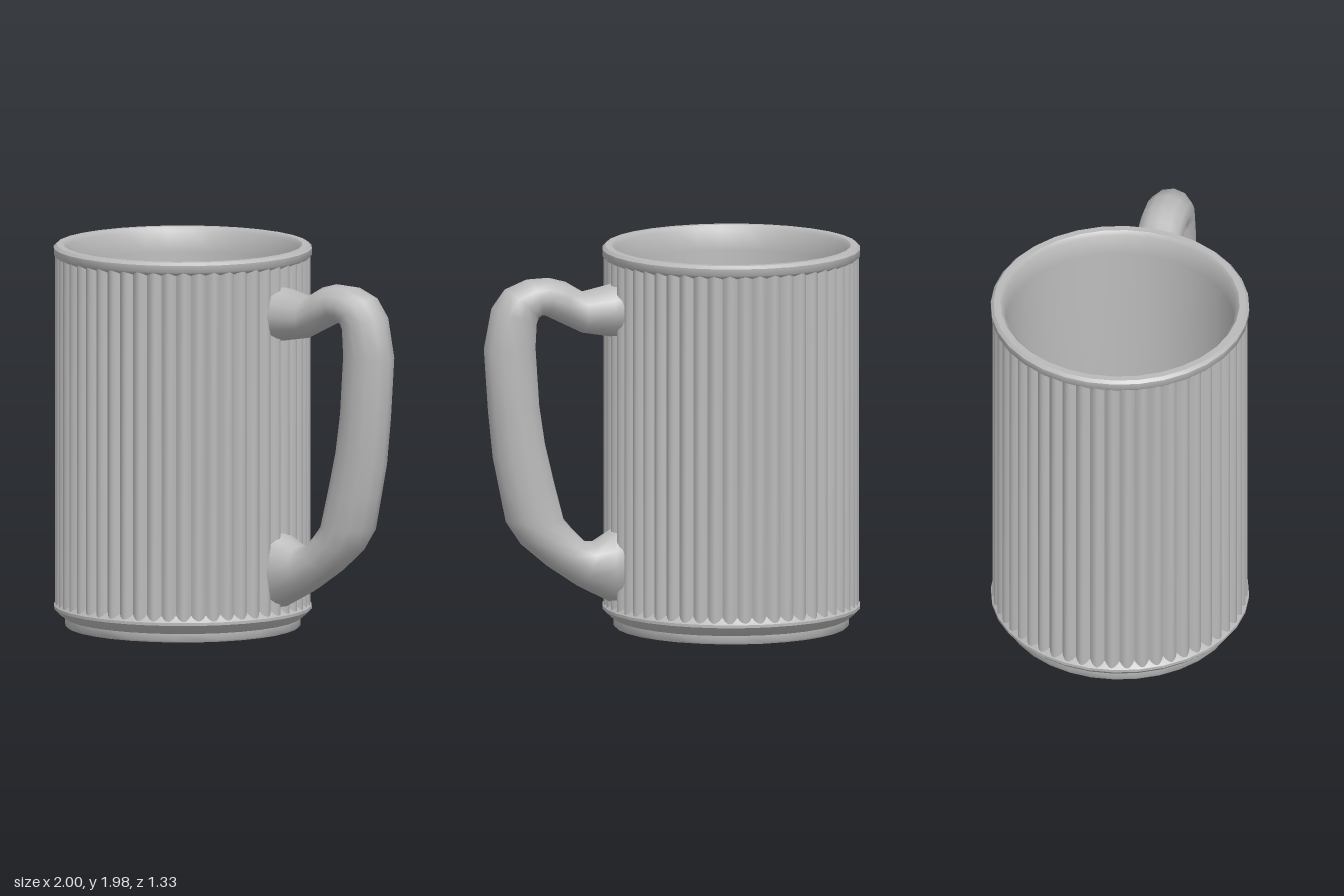
import * as THREE from 'three';
import { toCreasedNormals } from 'three/addons/utils/BufferGeometryUtils.js';

const CENTRE_X = -0.335;
const RIBS = 52;

// Closed turned shell: underside, foot, flange, rim, tapering inside, domed floor
function shellGeometry() {
  const dome = (r, edge, rise) => [0, 0.25, 0.5, 0.75, 1].map(t => [r * t, edge + rise * (1 - t * t)]);
  const profile = [
    ...dome(0.555, 0.09, 0.17),
    [0.565, 0.01], [0.575, 0], [0.6, 0], [0.607, 0.01], [0.607, 0.045],
    [0.635, 0.065], [0.664, 0.095], [0.664, 0.11], [0.645, 0.13], [0.62, 0.165],
    [0.62, 1.9], [0.655, 1.92], [0.664, 1.93], [0.665, 1.965], [0.65, 1.98],
    [0.615, 1.98], [0.597, 1.96], [0.59, 1.85],
    ...dome(0.545, 0.13, 0.17).reverse(),
  ];
  const g = new THREE.LatheGeometry(profile.map(p => new THREE.Vector2(...p)), 32);
  return toCreasedNormals(g, 0.75);
}

// Outer wall with half-round upright ribs
function ribbedGeometry() {
  const g = new THREE.CylinderGeometry(1, 1, 1.81, RIBS * 6, 1, true);
  const p = g.attributes.position;
  for (let i = 0; i < p.count; i++) {
    const a = Math.atan2(p.getX(i), p.getZ(i));
    const r = 0.632 + 0.025 * Math.abs(Math.sin(a * RIBS / 2));
    p.setXYZ(i, r * Math.sin(a), p.getY(i) + 1.02, r * Math.cos(a));
  }
  return toCreasedNormals(g, 0.75);
}

// Handle skin: oval rings between an inner and an outer edge
function handleGeometry() {
  // inner x, inner y, outer x, outer y, half depth
  const sections = [
    [0.275, 1.53, 0.275, 1.82, 0.14], [0.33, 1.54, 0.33, 1.81, 0.145],
    [0.47, 1.565, 0.47, 1.78, 0.125], [0.58, 1.62, 0.56, 1.835, 0.12],
    [0.67, 1.665, 0.65, 1.86, 0.12], [0.69, 1.667, 0.76, 1.857, 0.12],
    [0.707, 1.655, 0.88, 1.81, 0.12], [0.715, 1.63, 0.955, 1.71, 0.12],
    [0.72, 1.5, 0.997, 1.5, 0.12], [0.70, 1.2, 0.975, 1.18, 0.12],
    [0.67, 1.0, 0.95, 0.94, 0.12], [0.62, 0.79, 0.915, 0.77, 0.12],
    [0.57, 0.6, 0.88, 0.6, 0.12], [0.52, 0.54, 0.80, 0.48, 0.12],
    [0.46, 0.48, 0.66, 0.36, 0.12], [0.40, 0.475, 0.50, 0.25, 0.13],
    [0.325, 0.53, 0.33, 0.16, 0.148], [0.275, 0.55, 0.275, 0.14, 0.145],
  ];
  const N = 12, pos = [], idx = [];
  for (const [ix, iy, ox, oy, d] of sections) {
    for (let j = 0; j < N; j++) {
      const a = j / N * Math.PI * 2, t = (1 + Math.cos(a)) / 2;
      pos.push(ix + (ox - ix) * t, iy + (oy - iy) * t, -0.018 + d * Math.sin(a));
    }
  }
  for (let i = 0; i < sections.length - 1; i++) {
    for (let j = 0; j < N; j++) {
      const k = (j + 1) % N, a = i * N + j, b = i * N + k;
      idx.push(a, a + N, b, b, a + N, b + N);
    }
  }
  const g = new THREE.BufferGeometry();
  g.setAttribute('position', new THREE.Float32BufferAttribute(pos, 3));
  g.setIndex(idx);
  g.computeVertexNormals();
  return g;
}

export function createModel() {
  const group = new THREE.Group();
  group.name = 'mug';
  const grey = new THREE.MeshStandardMaterial({ color: 0xbababa });
  grey.name = 'grey';
  // The handle may show its open ends, so it is drawn from both sides
  const add = (name, geometry, x) => {
    const mesh = new THREE.Mesh(geometry, grey);
    mesh.name = name;
    mesh.position.x = x;
    group.add(mesh);
  };
  grey.side = THREE.DoubleSide;
  add('shell', shellGeometry(), CENTRE_X);
  add('ribbedWall', ribbedGeometry(), CENTRE_X);
  add('handle', handleGeometry(), 0);
  return group;
}
